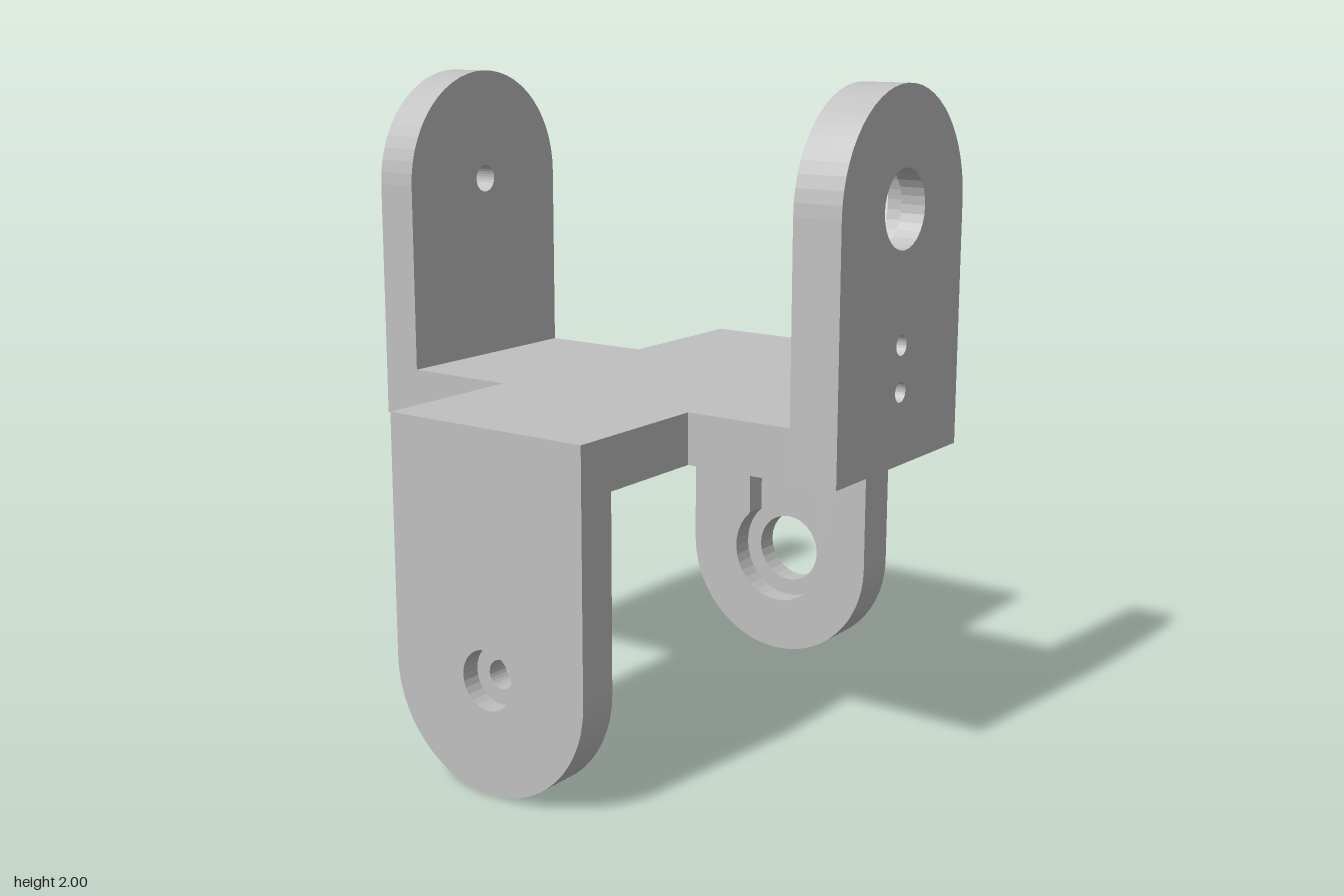
import * as THREE from 'three';

const HALF_W = 0.345;   // half width of every arm
const HALF_T = 0.077;   // half thickness of the centre cross
const PIVOT = 0.655;    // pivot height above the centre plane
const OUT = 0.835, FRONT_IN = 0.685, BACK_IN = -0.705;

const circle = (y, r) => new THREE.Path().absarc(0, y, r, 0, Math.PI * 2, true);

// Round-topped plate outline
function plateShape(holes) {
  const s = new THREE.Shape();
  s.moveTo(-HALF_W, -HALF_T);
  s.lineTo(HALF_W, -HALF_T);
  s.lineTo(HALF_W, PIVOT);
  s.absarc(0, PIVOT, HALF_W, 0, Math.PI, false);
  s.closePath();
  s.holes.push(...holes);
  return s;
}

// Round pocket with a straight slot running down to the cross
function keyhole() {
  const r = 0.17, w = 0.115, bottom = 0.03;
  const a = Math.acos(w / r);
  const p = new THREE.Path();
  p.moveTo(-w, bottom);
  p.lineTo(w, bottom);
  p.absarc(0, PIVOT, r, -a, Math.PI + a, false);
  p.closePath();
  return p;
}

// Cross outline seen from above, optionally notched where the slot enters it
function crossShape(notched) {
  const h = HALF_W, f = FRONT_IN, b = BACK_IN, w = 0.115, n = f - 0.02;
  const pts = [[b, -h], [-h, -h], [-h, b], [h, b], [h, -h], [f, -h], [f, h], [h, h], [h, f]];
  if (notched) pts.push([w, f], [w, n], [-w, n], [-w, f]);
  pts.push([-h, f], [-h, h], [b, h]);
  return new THREE.Shape(pts.map(([x, z]) => new THREE.Vector2(x, -z)));
}

function extrude(name, shape, from, to, material) {
  const geo = new THREE.ExtrudeGeometry(shape, {
    depth: to - from, bevelEnabled: false, curveSegments: 14,
  });
  geo.translate(0, 0, from);
  const mesh = new THREE.Mesh(geo, material);
  mesh.name = name;
  return mesh;
}

// One fork: half of the cross thickness plus two upright plates
function createFork(name, material) {
  const fork = new THREE.Group();
  fork.name = name;

  const crossCore = extrude('crossCore', crossShape(false), 0, 0.03, material);
  const crossFace = extrude('crossFace', crossShape(true), 0.03, HALF_T, material);
  crossCore.rotation.x = crossFace.rotation.x = -Math.PI / 2;

  const screws = () => [circle(0.272, 0.03), circle(0.137, 0.03)];
  fork.add(
    crossCore, crossFace,
    // Plate with a wide opening, two screw holes and a pocket inside
    extrude('hornPlateOuter', plateShape([circle(PIVOT, 0.115), ...screws()]), 0.76, OUT, material),
    extrude('hornPlatePocket', plateShape([keyhole()]), FRONT_IN, 0.76, material),
    // Plate with a counterbored pivot hole
    extrude('pivotPlateInner', plateShape([circle(PIVOT, 0.043)]), -0.775, BACK_IN, material),
    extrude('pivotPlateCounterbore', plateShape([circle(PIVOT, 0.09)]), -OUT, -0.775, material),
  );
  fork.position.y = 1;
  return fork;
}

export function createModel() {
  const grey = new THREE.MeshStandardMaterial({ color: 0xc0c0c0 });
  grey.name = 'light grey';

  const model = new THREE.Group();
  model.name = 'crossBracket';
  const upper = createFork('upperFork', grey);
  const lower = createFork('lowerFork', grey);
  // Half turn about the x = z diagonal: swaps x with z and flips y
  lower.quaternion.setFromAxisAngle(new THREE.Vector3(1, 0, 1).normalize(), Math.PI);
  model.add(upper, lower);
  return model;
}
